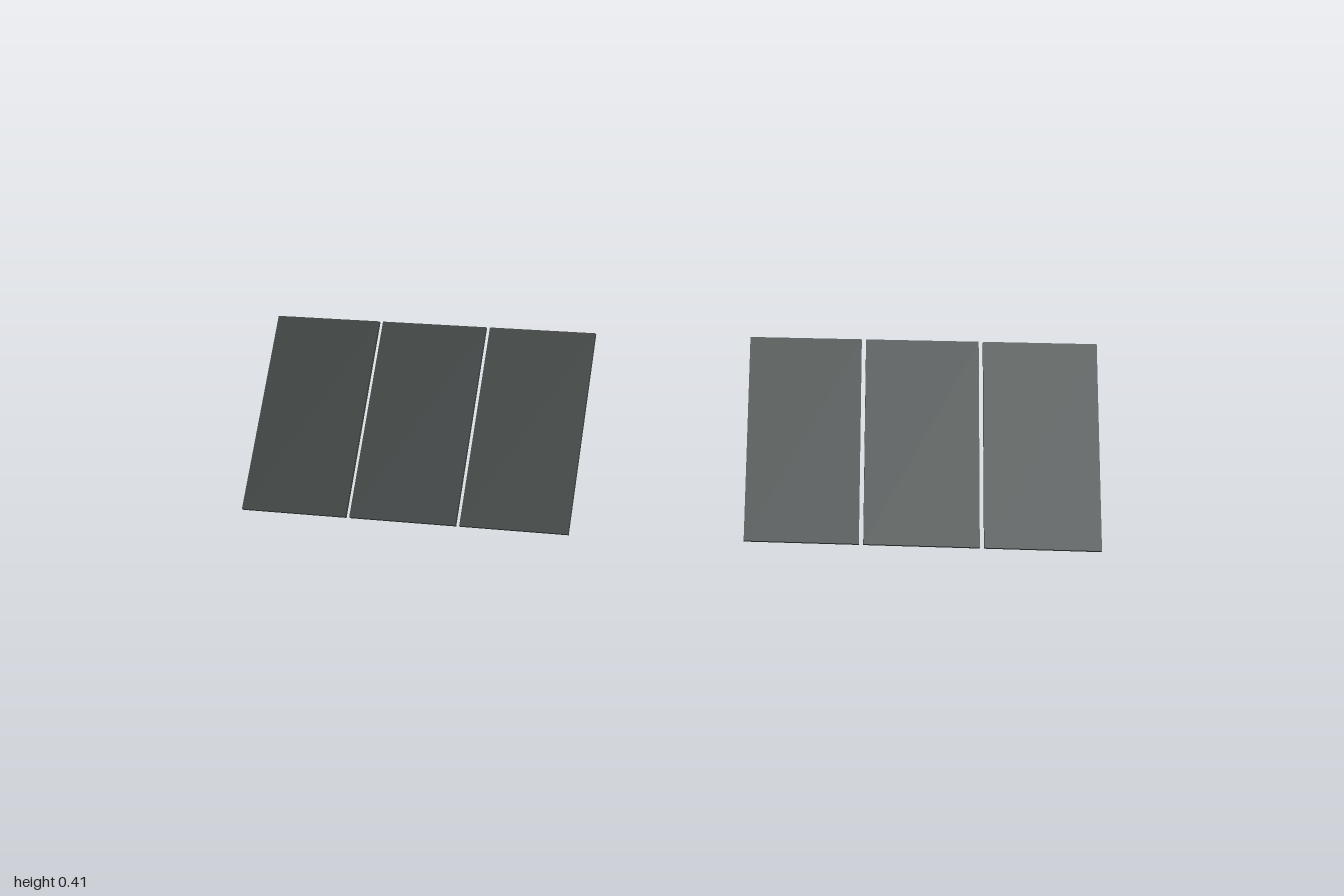
import * as THREE from 'three';

const PANEL_W = 0.26, PANEL_L = 0.49, PANEL_T = 0.01, GAP = 0.01;
const TILT = THREE.MathUtils.degToRad(55);

// A row of three flat panels, leaning back and turned slightly about y
function panelRow(name, x, yaw, material) {
  const row = new THREE.Group();
  row.name = name;
  const geometry = new THREE.BoxGeometry(PANEL_W, PANEL_T, PANEL_L);
  for (let i = -1; i <= 1; i++) {
    const panel = new THREE.Mesh(geometry, material);
    panel.name = 'panel' + (i + 2);
    panel.position.x = i * (PANEL_W + GAP);
    panel.rotation.x = TILT;
    row.add(panel);
  }
  // Lift so the lower edge rests on the ground
  const halfHeight = (PANEL_L * Math.sin(TILT) + PANEL_T * Math.cos(TILT)) / 2;
  row.position.set(x, halfHeight, 0);
  row.rotation.y = yaw;
  return row;
}

export function createModel() {
  const model = new THREE.Group();
  model.name = 'tiltedPanels';
  const slate = new THREE.MeshStandardMaterial({ color: 0x3b4140 });
  slate.name = 'dark slate';
  model.add(
    panelRow('rightPanelRow', -0.589, -0.08, slate),
    panelRow('leftPanelRow', 0.593, 0.047, slate),
  );
  return model;
}
